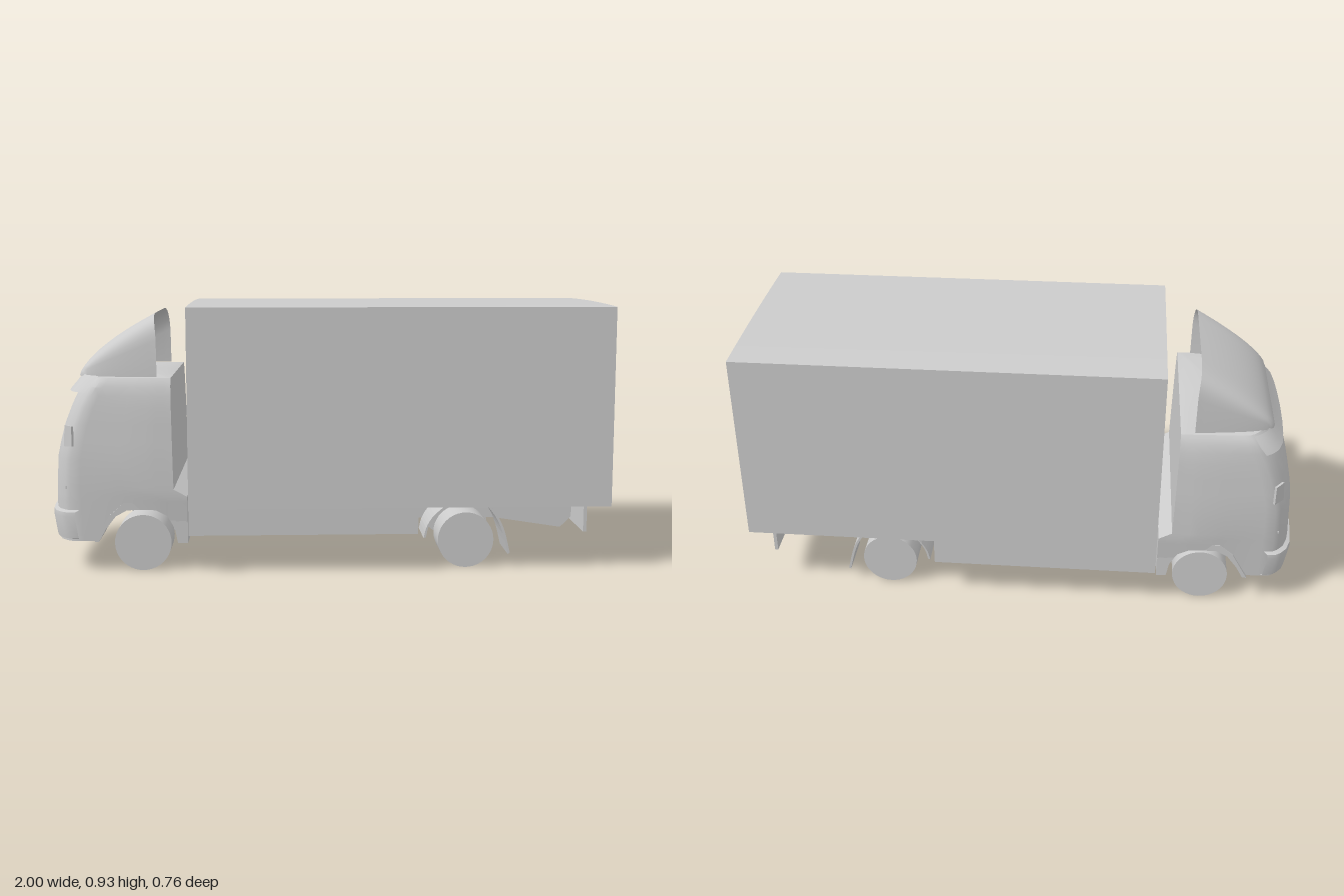
import * as THREE from 'three';
import { toCreasedNormals } from 'three/addons/utils/BufferGeometryUtils.js';

const material = new THREE.MeshStandardMaterial({ color: 0xcccccc, side: THREE.DoubleSide });

// Linear interpolation through [key, value] pairs
function sample(table, k) {
  if (k <= table[0][0]) return table[0][1];
  for (let i = 1; i < table.length; i++) {
    const [a, va] = table[i - 1], [b, vb] = table[i];
    if (k <= b) return va + (vb - va) * (k - a) / (b - a);
  }
  return table[table.length - 1][1];
}

// Surface through rows of points
function loft(rows, crease = 0.6) {
  const n = rows[0].length, index = [];
  for (let r = 0; r < rows.length - 1; r++) {
    for (let c = 0; c < n - 1; c++) {
      const a = r * n + c, b = a + n;
      index.push(a, a + 1, b, b, a + 1, b + 1);
    }
  }
  const g = new THREE.BufferGeometry();
  g.setAttribute('position', new THREE.Float32BufferAttribute(rows.flat(2), 3));
  g.setIndex(index);
  return toCreasedNormals(g, crease);
}

// Side-view outline extruded across z
function sidePlate(points, z, depth) {
  const shape = new THREE.Shape(points.map(p => new THREE.Vector2(...p)));
  return new THREE.ExtrudeGeometry(shape, { depth, bevelEnabled: false }).translate(0, 0, z - depth / 2);
}

// Box with some sides left off (2 = top, 3 = bottom)
function openBox(size, segments, missing) {
  const g = new THREE.BoxGeometry(...size, 1, 1, segments);
  const index = Array.from(g.index.array);
  g.setIndex(g.groups.filter(q => !missing.includes(q.materialIndex))
    .flatMap(q => index.slice(q.start, q.start + q.count)));
  g.clearGroups();
  return g;
}

// Cab profiles by height
const frontX = [[0.11, -0.98], [0.25, -0.985], [0.4, -0.978], [0.5, -0.957], [0.58, -0.925], [0.64, -0.895], [0.68, -0.865]];
const rearX = [[0.27, -0.505], [0.295, -0.552], [0.68, -0.56]];
const frontW = [[0.11, 0.325], [0.4, 0.33], [0.6, 0.32], [0.66, 0.312], [0.68, 0.295]];
const rearW = [[0.11, 0.337], [0.27, 0.352], [0.4, 0.35], [0.6, 0.335], [0.66, 0.32], [0.68, 0.305]];
// Bottom edge of the cab side by x, with the wheel arch
const arch = [[-0.815, 0.11], [-0.79, 0.155], [-0.755, 0.2], [-0.715, 0.222], [-0.615, 0.222], [-0.575, 0.2], [-0.55, 0.155], [-0.54, 0.103]];

const noseSteps = [0, 0.3, 0.55, 0.75, 0.88, 0.96, 1];
const sideSteps = [-0.87, ...arch.map(p => p[0]), -0.505].map(x => (x + 0.91) / 0.405);

// Point on the rounded nose, f from 0 at the centre to 1 at the corner
const nose = (y, f, grow = 0) => [
  sample(frontX, y) - grow + 0.02 * f * f + 0.05 * f ** 10, y, (sample(frontW, y) + grow) * f];

function mirrorRow(half) {
  return [...half.slice(1).reverse().map(([x, y, z]) => [x, y, -z]), ...half];
}

// One outline of the cab; without a height it follows the bottom edge
function cabRow(y) {
  const half = noseSteps.map(f => nose(y ?? 0.11, f));
  for (const s of sideSteps) {
    const yy = y ?? sample(arch, -0.91 + s * 0.405);
    const x0 = sample(frontX, yy) + 0.07, w0 = sample(frontW, yy);
    half.push([x0 + (sample(rearX, yy) - x0) * s, yy, w0 + (sample(rearW, yy) - w0) * Math.min(1, s * 1.4)]);
  }
  const yr = y ?? 0.103;
  half.push([sample(rearX, yr), yr, 0]);
  return mirrorRow(half);
}

function cabShell() {
  const rows = [undefined, 0.25, 0.27, 0.295, 0.4, 0.46, 0.52, 0.58, 0.62, 0.65, 0.67, 0.68].map(cabRow);
  // roof closes toward its middle
  const rim = rows[rows.length - 1];
  rows.push(rim.map(([x, , z]) => [-0.71 + (x + 0.71) * 0.8, 0.686, z * 0.8]));
  rows.push(rim.map(() => [-0.71, 0.688, 0]));
  return loft(rows);
}

// Band that follows the nose: list of [height, outward offset]
function noseBand(profile, wrap) {
  return loft(profile.map(([y, grow]) => {
    const half = noseSteps.map(f => nose(y, f, grow));
    const end = half[half.length - 1];
    half.push([end[0] + wrap, y, end[2] + 0.004]);
    return mirrorRow(half);
  }));
}

// Open-backed roof fairing, built from upright arches front to back
function fairing() {
  const rows = [];
  for (let i = 0; i <= 14; i++) {
    const t = (i / 14) ** 1.4, x = -0.885 + 0.265 * t;
    const h = 0.215 * Math.pow(t, 0.64) + 0.002;
    const w = 0.22 + 0.078 * Math.pow(t, 0.35);
    const p = 0.42 - 0.16 * t;
    const row = [];
    for (let j = 0; j <= 24; j++) {
      const a = Math.PI * j / 24, c = Math.cos(a), s = Math.sin(a);
      row.push([x + 0.012 * t * (1 - s), 0.683 + h * Math.pow(Math.max(s, 0), p),
        w * Math.sign(c) * Math.pow(Math.abs(c), p) * (1 - 0.03 * s * t)]);
    }
    rows.push(row);
  }
  return loft(rows, 0.8);
}

// Hollow cargo body with bowed, slightly leaning rear and crowned roof
function cargoBody() {
  const g = openBox([1.48, 0.7, 0.75], 10, [3]);
  const p = g.attributes.position;
  for (let i = 0; i < p.count; i++) {
    const f = p.getZ(i) / 0.375, top = p.getY(i) > 0;
    const x = p.getX(i) < 0 ? -0.5 : 0.98 + (top ? 0 : 0.02 * (1 - f ** 4));
    p.setXYZ(i, x, top ? 0.932 - 0.005 * f * f : 0.23, f * (top ? 0.372 : 0.379));
  }
  return toCreasedNormals(g, 0.4);
}

export function createModel() {
  const truck = new THREE.Group();
  const add = (name, geometry, x = 0, y = 0, z = 0) => {
    const mesh = new THREE.Mesh(geometry, material);
    mesh.name = name;
    mesh.position.set(x, y, z);
    truck.add(mesh);
    return mesh;
  };

  // Cargo area, open underneath
  add('cargoBody', cargoBody());
  add('cargoSkirt', openBox([0.8, 0.093, 0.758], 1, [2, 3]), -0.1, 0.1835, 0);

  // Cab
  add('cab', cabShell());
  add('cabFloor', new THREE.BoxGeometry(0.37, 0.01, 0.64), -0.745, 0.3, 0);
  add('bumper', noseBand([[0.113, -0.012], [0.12, 0.006], [0.2, 0.014], [0.215, 0.012], [0.222, -0.004]], 0.03));
  add('cabFirewall', new THREE.BoxGeometry(0.01, 0.19, 0.62), -0.925, 0.207, 0);
  add('sunVisor', noseBand([[0.635, 0.03], [0.66, 0.026], [0.69, 0.018]], 0.006));
  add('roofFairing', fairing());

  // Rear underride bar
  add('rearBar', new THREE.BoxGeometry(0.012, 0.098, 0.69), 0.896, 0.181, 0);

  const rail = [[0.3, 0.23], [0.3, 0.145], [0.6, 0.145], [0.85, 0.106], [0.9, 0.155], [0.99, 0.23]];
  const housing = [[-0.83, 0.11], [-0.775, 0.205], [-0.725, 0.248], [-0.585, 0.248], [-0.505, 0.175], [-0.505, 0.103],
    ...arch.slice().reverse()];
  const flaps = {
    FrontMudguard: [[0.325, 0.11], [0.335, 0.15], [0.36, 0.19], [0.4, 0.225]],
    RearMudguard: [[0.545, 0.23], [0.58, 0.185], [0.605, 0.13], [0.625, 0.05]],
  };

  // Paired parts
  for (const [side, s] of [['left', -1], ['right', 1]]) {
    add(side + 'ChassisRail', sidePlate(rail, 0.14 * s, 0.024));
    add(side + 'WheelHousing', sidePlate(housing, 0.266 * s, 0.156));
    for (const [axle, x] of [['Front', -0.663], ['Rear', 0.475]]) {
      const wheel = new THREE.CylinderGeometry(0.099, 0.099, 0.133, 40).rotateX(Math.PI / 2);
      add(side + axle + 'Wheel', wheel, x, 0.102, 0.2605 * s);
    }
    for (const [name, pts] of Object.entries(flaps)) {
      const curve = new THREE.SplineCurve(pts.map(p => new THREE.Vector2(...p))).getPoints(10);
      const outline = [...curve.map(p => [p.x, p.y]), ...curve.reverse().map(p => [p.x + 0.008, p.y + 0.003])];
      add(side + name, sidePlate(outline, 0.25 * s, 0.16));
    }
    // Door mirror, swept back
    const mirror = sidePlate([[-0.03, -0.035], [0.025, -0.03], [0.025, 0.04], [-0.02, 0.04]], 0, 0.008);
    add(side + 'Mirror', mirror, -0.908, 0.482, 0.35 * s).rotation.y = -0.9 * s;
  }
  return truck;
}
